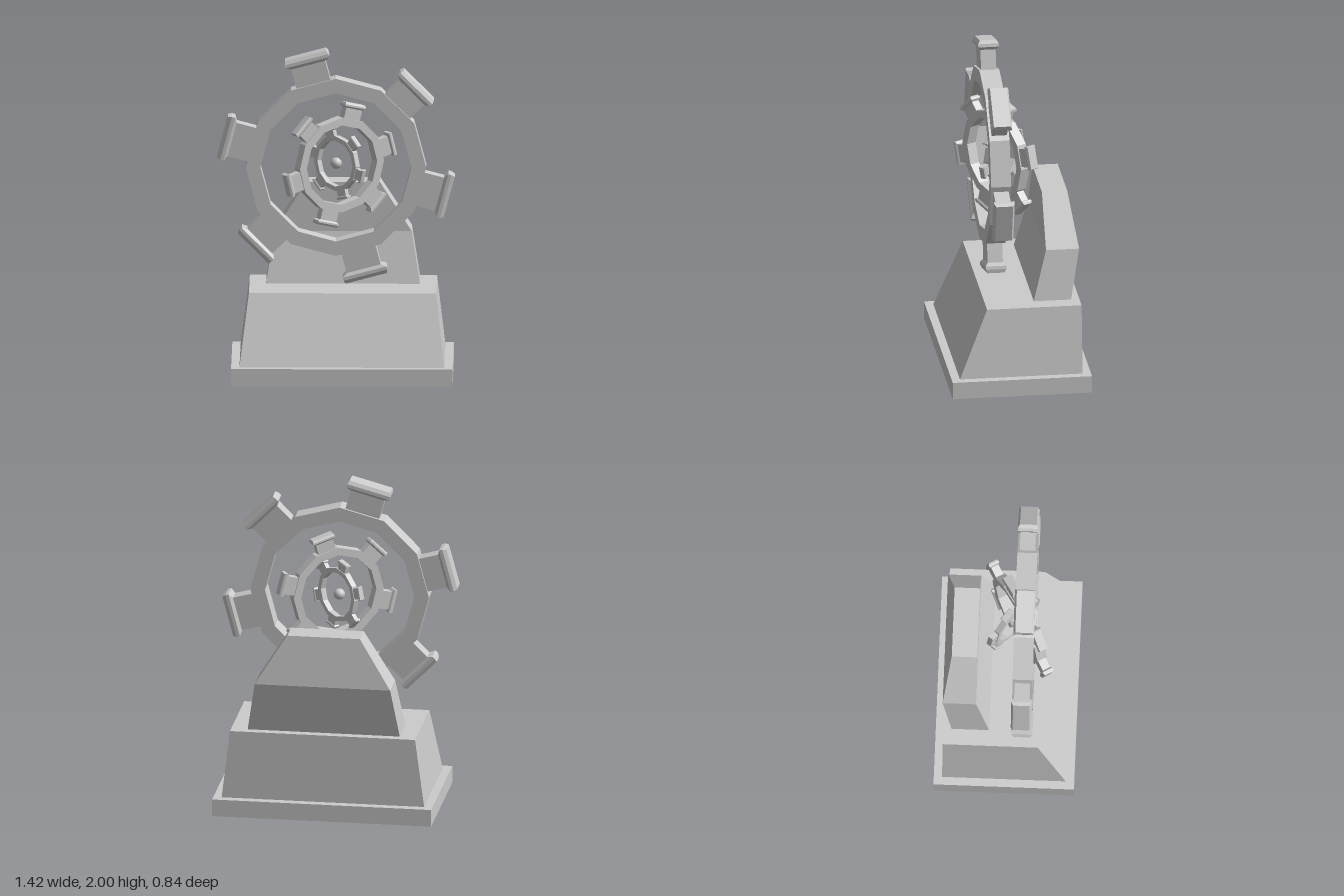
import * as THREE from 'three';

const material = new THREE.MeshStandardMaterial({ color: 0xcccccc, flatShading: true });
const smooth = new THREE.MeshStandardMaterial({ color: 0xcccccc });

function addMesh(parent, name, geometry, mat = material) {
  const mesh = new THREE.Mesh(geometry, mat);
  mesh.name = name;
  parent.add(mesh);
  return mesh;
}

// Closed solid through rectangular sections [y, xMin, xMax, zMin, zMax], bottom to top.
function loft(sections) {
  const positions = [];
  const index = [];
  for (const [y, x0, x1, z0, z1] of sections) {
    positions.push(x0, y, z1, x1, y, z1, x1, y, z0, x0, y, z0);
  }
  for (let s = 0; s < sections.length - 1; s++) {
    for (let i = 0; i < 4; i++) {
      const a = s * 4 + i;
      const b = s * 4 + (i + 1) % 4;
      index.push(a, b, b + 4, a, b + 4, a + 4);
    }
  }
  const t = (sections.length - 1) * 4;
  index.push(0, 2, 1, 0, 3, 2, t, t + 1, t + 2, t, t + 2, t + 3);
  const indexed = new THREE.BufferGeometry();
  indexed.setAttribute('position', new THREE.Float32BufferAttribute(positions, 3));
  indexed.setIndex(index);
  const geometry = indexed.toNonIndexed();
  geometry.computeVertexNormals();
  return geometry;
}

function polygon(radius, sides) {
  return Array.from({ length: sides }, (_, i) => {
    const a = (i / sides) * Math.PI * 2;
    return new THREE.Vector2(radius * Math.cos(a), radius * Math.sin(a));
  });
}

// Twelve-sided band shared by all three wheels
function bandGeometry() {
  const depth = 0.12;
  const shape = new THREE.Shape(polygon(0.54, 12));
  shape.holes.push(new THREE.Path(polygon(0.452, 12)));
  return new THREE.ExtrudeGeometry(shape, { depth, bevelEnabled: false }).translate(0, 0, -depth / 2);
}

// Stem with a flared, bevelled cap, pointing outward along +y
function knobGeometry() {
  const profile = [
    [0.51, 0.105, 0.046], [0.642, 0.105, 0.046], [0.66, 0.135, 0.062],
    [0.68, 0.135, 0.062], [0.702, 0.127, 0.05],
  ];
  return loft(profile.map(([y, w, d]) => [y, -w, w, -d, d]));
}

function createWheel(name, band, knob, { scale, position, turn, firstAngle }) {
  const wheel = new THREE.Group();
  wheel.name = name;
  addMesh(wheel, 'band', band);
  for (let i = 0; i < 6; i++) {
    const angle = THREE.MathUtils.degToRad(firstAngle + i * 60);
    addMesh(wheel, 'knob', knob).rotation.z = angle - Math.PI / 2;
  }
  wheel.scale.setScalar(scale);
  wheel.position.set(...position);
  wheel.rotation.y = THREE.MathUtils.degToRad(turn);
  return wheel;
}

export function createModel() {
  const model = new THREE.Group();
  model.name = 'nestedWheelsOnPedestal';

  // Stepped base
  addMesh(model, 'plinth', loft([
    [0, -0.625, 0.7, -0.42, 0.42],
    [0.105, -0.625, 0.7, -0.42, 0.42],
  ]));
  addMesh(model, 'pedestal', loft([
    [0.105, -0.575, 0.65, -0.37, 0.37],
    [0.525, -0.52, 0.6, -0.37, 0.2],
  ]));

  // Leaning back support with sloped shoulders
  addMesh(model, 'backSupport', loft([
    [0.525, -0.42, 0.5, -0.32, -0.095],
    [0.83, -0.37, 0.45, -0.375, -0.175],
    [1.13, -0.18, 0.26, -0.328, -0.175],
  ]));

  // Three nested wheels, each turned about the vertical axis
  const band = bandGeometry();
  const knob = knobGeometry();
  model.add(
    createWheel('outerWheel', band, knob, { scale: 1, position: [0, 1.286, 0.107], turn: 0, firstAngle: 45 }),
    createWheel('middleWheel', band, knob, { scale: 0.535, position: [0.02, 1.286, 0.07], turn: 30, firstAngle: 15 }),
    createWheel('innerWheel', band, knob, { scale: 0.31, position: [0.005, 1.286, 0.035], turn: -41, firstAngle: 45 }),
  );

  // Small ball at the centre
  addMesh(model, 'centreBall', new THREE.SphereGeometry(0.034, 20, 14), smooth).position.set(0, 1.286, 0.035);

  return model;
}
